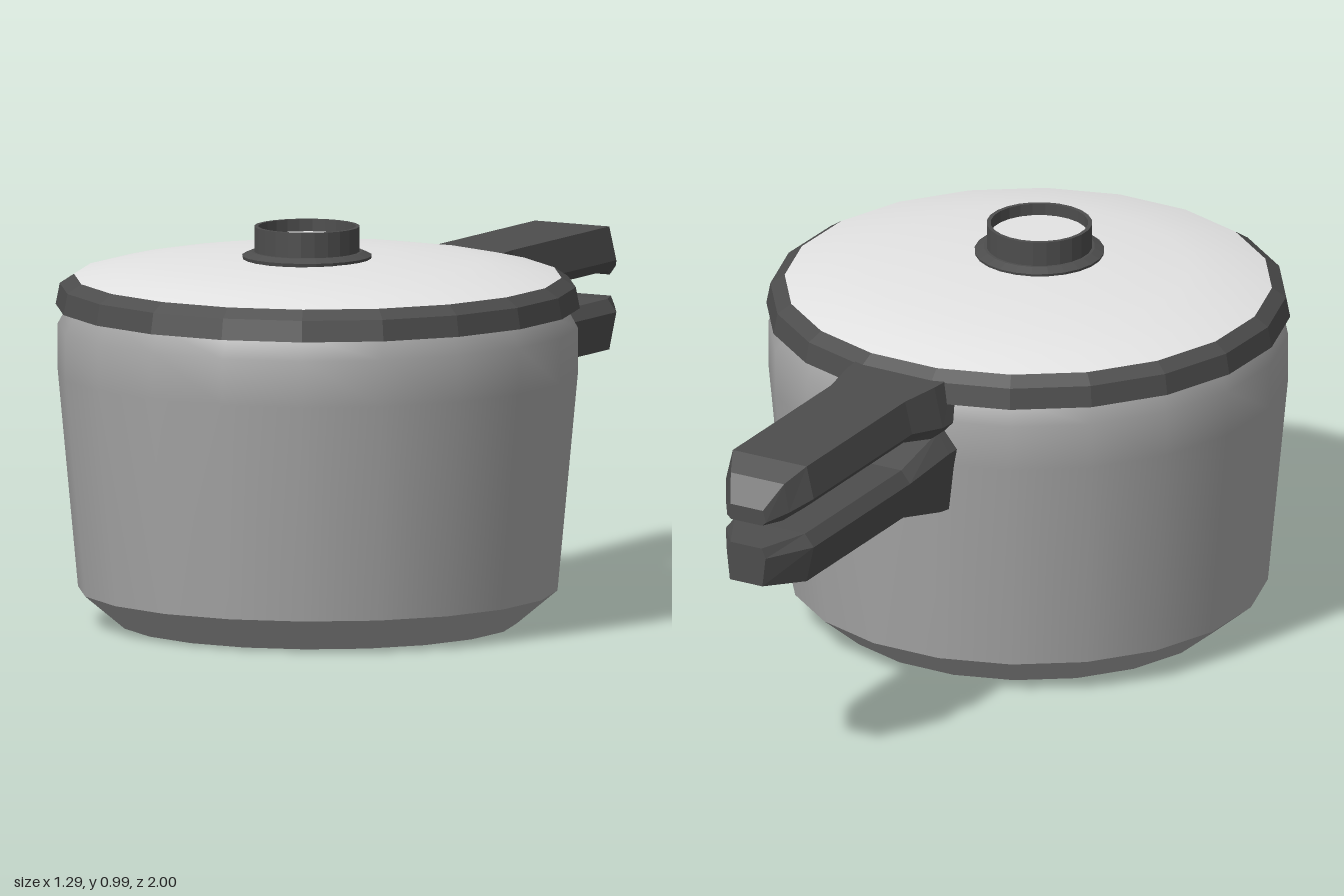
import * as THREE from 'three';

const SIDES = 20;
const POT_Z = 0.355;

const flat = (geometry) => {
  const g = geometry.index ? geometry.toNonIndexed() : geometry;
  g.computeVertexNormals();
  return g;
};

const lathe = (profile, sides = SIDES) =>
  new THREE.LatheGeometry(profile.map(([r, y]) => new THREE.Vector2(r, y)), sides);

// Six-sided bar running toward -z. Each section is [distance, halfWidth, inner, outer]:
// the sides taper toward the outer height and are bevelled at the inner one.
function handleBar(sections) {
  const rings = sections.map(([d, w, inner, outer]) => {
    const shoulder = inner + (outer - inner) * 0.25;
    const ring = [
      [w * 0.8, inner], [w, shoulder], [w * 0.84, outer],
      [-w * 0.84, outer], [-w, shoulder], [-w * 0.8, inner],
    ].map(([x, y]) => [x, y, -d]);
    return outer > inner ? ring : ring.reverse();
  });
  const positions = [];
  const triangle = (...corners) => corners.forEach((c) => positions.push(...c));
  for (let s = 0; s < rings.length - 1; s++) {
    for (let i = 0; i < 6; i++) {
      const j = (i + 1) % 6;
      triangle(rings[s][i], rings[s + 1][i], rings[s + 1][j]);
      triangle(rings[s][i], rings[s + 1][j], rings[s][j]);
    }
  }
  // End caps
  const first = rings[0];
  const last = rings[rings.length - 1];
  for (let i = 1; i < 5; i++) {
    triangle(first[0], first[i], first[i + 1]);
    triangle(last[0], last[i + 1], last[i]);
  }
  const g = new THREE.BufferGeometry();
  g.setAttribute('position', new THREE.Float32BufferAttribute(positions, 3));
  return flat(g);
}

export function createModel() {
  const model = new THREE.Group();
  model.name = 'pressureCooker';

  const dark = new THREE.MeshStandardMaterial({ color: 0x4d4d4d });
  dark.name = 'dark plastic';
  const steel = new THREE.MeshStandardMaterial({ color: 0xa5a5a5 });
  steel.name = 'grey steel';
  const light = new THREE.MeshStandardMaterial({ color: 0xe4e4e4 });
  light.name = 'light steel';

  const pot = new THREE.Group();
  pot.name = 'pot';
  pot.position.z = POT_Z;
  model.add(pot);

  const add = (name, geometry, material, parent = pot) => {
    const mesh = new THREE.Mesh(geometry, material);
    mesh.name = name;
    parent.add(mesh);
    return mesh;
  };

  // Base and body
  add('base', flat(lathe([[0, 0], [0.49, 0], [0.59, 0.083]])), steel);
  add('body', lathe([[0.59, 0.083], [0.64, 0.62], [0.64, 0.735], [0.61, 0.79]]), steel);

  // Lid with its dark rim
  add('lidRim', flat(lathe([
    [0.58, 0.783], [0.645, 0.783], [0.635, 0.835], [0.6, 0.858],
  ])), dark);
  add('lid', lathe([
    [0.6, 0.858], [0.52, 0.877], [0.4, 0.896], [0.2, 0.911], [0, 0.913],
  ]), light);

  // Hollow knob, set forward of the lid centre
  const knob = new THREE.Group();
  knob.name = 'knob';
  knob.position.set(-0.003, 0, 0.065);
  pot.add(knob);
  add('knobRing', flat(lathe([
    [0.155, 0.895], [0.16, 0.918], [0.137, 0.928], [0.13, 0.928],
    [0.13, 0.99], [0.12, 0.99], [0.12, 0.955],
  ], 24)), dark, knob);
  add('knobInset', lathe([[0.12, 0.96], [0, 0.96]], 24), light, knob);

  // Pair of handles pointing back, turned slightly to one side
  const handles = new THREE.Group();
  handles.name = 'handles';
  handles.position.x = 0.006;
  handles.rotation.y = THREE.MathUtils.degToRad(-8.2);
  pot.add(handles);
  add('upperHandle', handleBar([
    [0.58, 0.155, 0.7, 0.837], [0.66, 0.148, 0.7, 0.837],
    [0.77, 0.125, 0.725, 0.835], [1.25, 0.125, 0.725, 0.835],
    [1.31, 0.09, 0.706, 0.803], [1.363, 0.055, 0.705, 0.745],
  ]), dark, handles);
  add('lowerHandle', handleBar([
    [0.56, 0.172, 0.73, 0.495], [0.64, 0.155, 0.713, 0.5],
    [0.78, 0.125, 0.655, 0.53], [1.25, 0.125, 0.655, 0.53],
    [1.365, 0.055, 0.645, 0.545],
  ]), dark, handles);

  return model;
}
